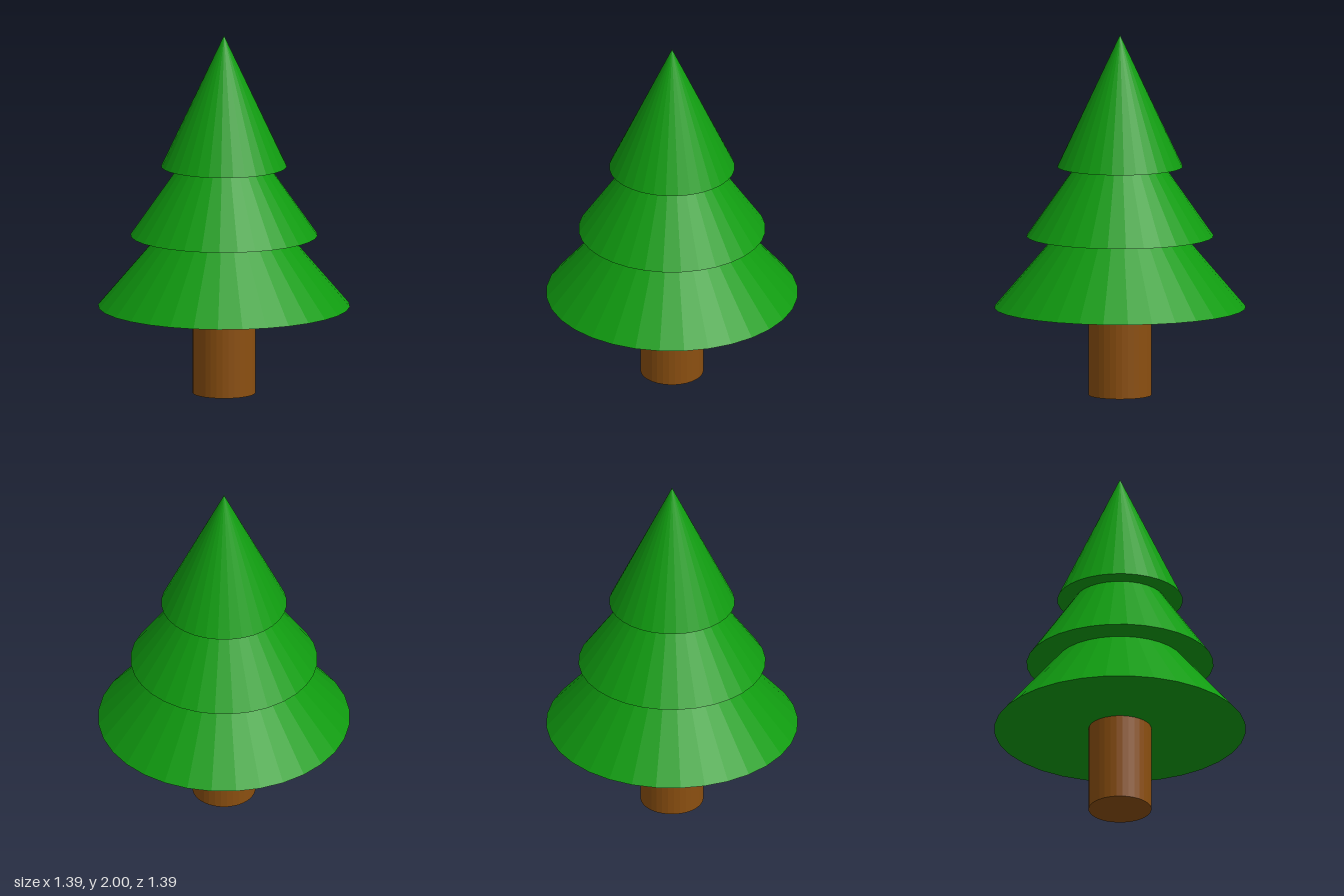
import * as THREE from 'three';

const SIDES = 32;

export function createModel() {
  const tree = new THREE.Group();
  tree.name = 'pineTree';

  const bark = new THREE.MeshStandardMaterial({ color: 0x8b4f10, flatShading: true });
  const needles = new THREE.MeshStandardMaterial({ color: 0x109c10, flatShading: true });

  // Adds a mesh standing on the given height
  const add = (name, geometry, material, base, height) => {
    const mesh = new THREE.Mesh(geometry, material);
    mesh.name = name;
    mesh.position.y = base + height / 2;
    tree.add(mesh);
  };

  // Trunk, ending just inside the lowest tier
  add('trunk', new THREE.CylinderGeometry(0.173, 0.173, 0.5, SIDES), bark, 0, 0.5);

  // Overlapping foliage cones: name, base radius, base height, tip height
  const tiers = [
    ['lowerFoliage', 0.693, 0.487, 1.3],
    ['middleFoliage', 0.515, 0.883, 1.62],
    ['upperFoliage', 0.346, 1.268, 2],
  ];
  for (const [name, radius, base, tip] of tiers) {
    add(name, new THREE.ConeGeometry(radius, tip - base, SIDES), needles, base, tip - base);
  }

  return tree;
}
